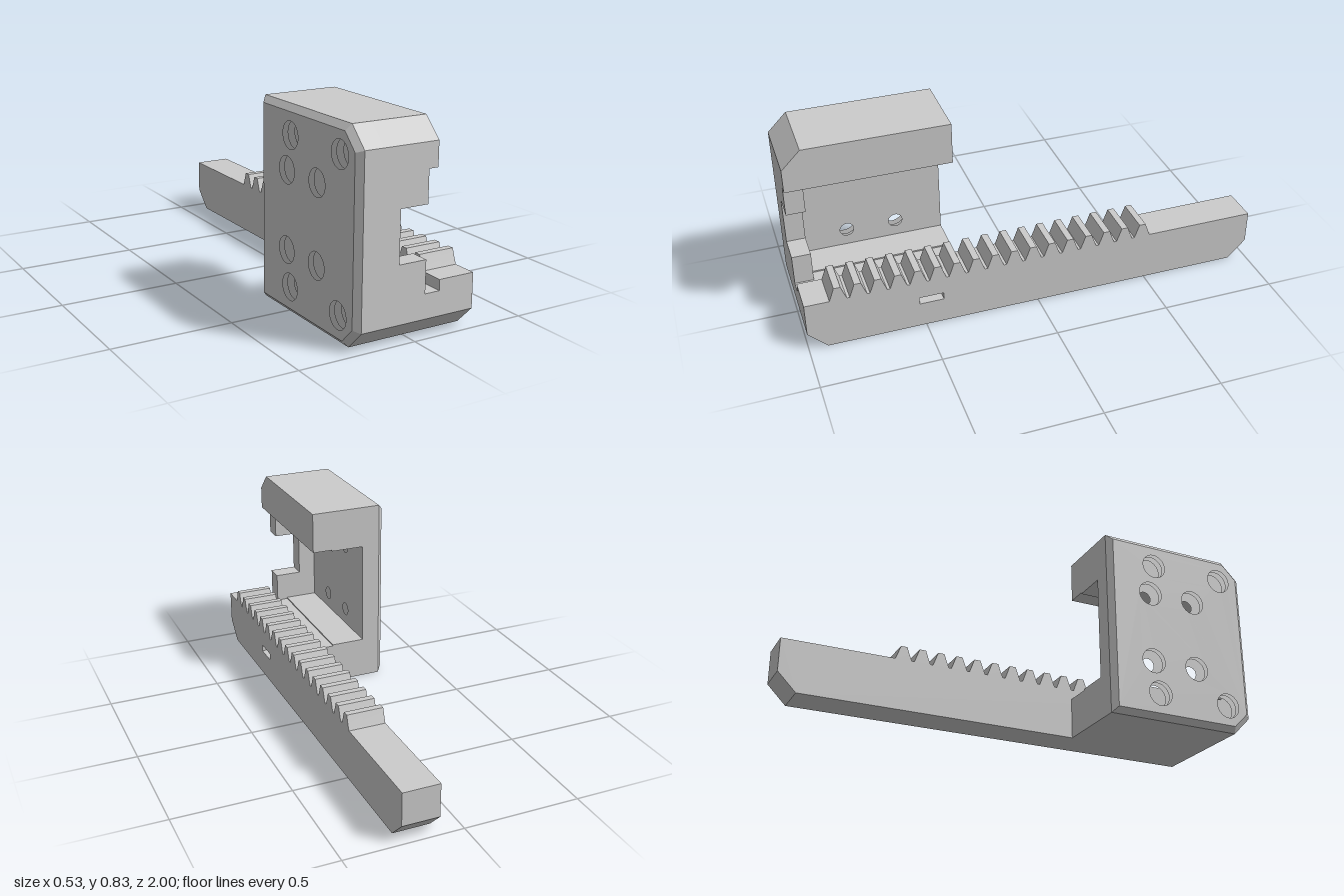
import * as THREE from 'three';
import { toCreasedNormals } from 'three/addons/utils/BufferGeometryUtils.js';

const material = new THREE.MeshStandardMaterial({ color: 0xcccccc });

function addMesh(group, name, geometry) {
  const mesh = new THREE.Mesh(geometry, material);
  mesh.name = name;
  group.add(mesh);
}

// Side profile of [z, y] points extruded along x, with round holes [z, y, r] or polygon holes
function slab(points, x0, x1, roundHoles = [], polyHoles = []) {
  const flip = ([z, y]) => new THREE.Vector2(-z, y);
  const shape = new THREE.Shape(points.map(flip));
  for (const [z, y, r] of roundHoles) {
    shape.holes.push(new THREE.Path().absarc(-z, y, r, 0, Math.PI * 2, true));
  }
  for (const poly of polyHoles) shape.holes.push(new THREE.Path(poly.map(flip)));
  const g = new THREE.ExtrudeGeometry(shape, { depth: x1 - x0, bevelEnabled: false, curveSegments: 18 });
  g.rotateY(Math.PI / 2).translate(x0, 0, 0);
  return toCreasedNormals(g, 0.5);
}

function box(x0, x1, y0, y1, z0, z1) {
  return new THREE.BoxGeometry(x1 - x0, y1 - y0, z1 - z0)
    .translate((x0 + x1) / 2, (y0 + y1) / 2, (z0 + z1) / 2);
}

// Sloping band joining two [z, y] contours at different x
function band(outer, xOuter, inner, xInner) {
  const v = [];
  outer.forEach((o, i) => {
    const j = (i + 1) % outer.length;
    const a = [xOuter, o[1], o[0]], b = [xOuter, outer[j][1], outer[j][0]];
    const c = [xInner, inner[j][1], inner[j][0]], d = [xInner, inner[i][1], inner[i][0]];
    v.push(...a, ...b, ...c, ...a, ...c, ...d);
  });
  const g = new THREE.BufferGeometry();
  g.setAttribute('position', new THREE.Float32BufferAttribute(v, 3));
  g.computeVertexNormals();
  return g;
}

function buildBracket() {
  const bracket = new THREE.Group();
  bracket.name = 'bracket';
  const outline = [[0.31, 0], [0.92, 0], [1, 0.08], [1, 0.755], [0.92, 0.835], [0.31, 0.835]];
  const inset = [[0.335, 0.025], [0.91, 0.025], [0.975, 0.09], [0.975, 0.745], [0.91, 0.81], [0.335, 0.81]];

  // Hole pattern: four deep corner holes, four counterbored screw holes
  const corners = [], bores = [], screws = [];
  for (const y of [0.72, 0.115]) for (const z of [0.54, 0.88]) corners.push([z, y, 0.055]);
  for (const y of [0.58, 0.26]) for (const z of [0.515, 0.73]) {
    bores.push([z, y, 0.055]);
    screws.push([z, y, 0.03]);
  }

  // Side wall in layers, with a chamfered outer face
  addMesh(bracket, 'wallOuterFace', slab(inset, -0.263, -0.24, [...corners, ...bores]));
  addMesh(bracket, 'wallChamfer', band(outline, -0.24, inset, -0.263));
  addMesh(bracket, 'wallCounterbore', slab(outline, -0.24, -0.21, [...corners, ...bores]));
  addMesh(bracket, 'wallInner', slab(outline, -0.21, -0.16, [...corners, ...screws]));

  // Upper arm and base
  addMesh(bracket, 'upperArm', slab(
    [[0.31, 0.655], [1, 0.655], [1, 0.755], [0.92, 0.835], [0.31, 0.835]], -0.16, 0.08));
  addMesh(bracket, 'base', slab(
    [[0.31, 0], [0.92, 0], [1, 0.08], [1, 0.18], [0.31, 0.18]], -0.16, 0.105));

  // Shallow raised pads on the ceiling and floor of the opening
  addMesh(bracket, 'ceilingPad', box(-0.16, -0.01, 0.649, 0.655, 0.31, 0.92));
  addMesh(bracket, 'floorPad', box(-0.16, -0.01, 0.18, 0.186, 0.31, 0.92));

  // Front lip with a rectangular notch
  const lip = new THREE.Shape([
    [-0.16, 0.18], [0.04, 0.18], [0.04, 0.313], [-0.08, 0.313],
    [-0.08, 0.523], [0.04, 0.523], [0.04, 0.655], [-0.16, 0.655],
  ].map(([x, y]) => new THREE.Vector2(x, y)));
  addMesh(bracket, 'frontLip',
    new THREE.ExtrudeGeometry(lip, { depth: 0.08, bevelEnabled: false }).translate(0, 0, 0.92));
  return bracket;
}

function buildRack() {
  const rack = new THREE.Group();
  rack.name = 'rack';
  const root = 0.224, tip = 0.284, pitch = 0.0837, first = -0.479, teeth = 17;

  // Bar with chamfered lower ends and a row of teeth along the top
  const profile = [[1, root], [1, 0.08], [0.92, 0], [-0.92, 0], [-1, 0.08], [-1, root]];
  for (let i = 0; i < teeth; i++) {
    const c = first + i * pitch;
    profile.push(
      [c - 0.036, root], [c - 0.026, 0.25], [c - 0.014, tip],
      [c + 0.014, tip], [c + 0.026, 0.25], [c + 0.036, root]);
  }
  const slot = [[0.42, 0.113], [0.525, 0.113], [0.525, 0.145], [0.42, 0.145]];
  addMesh(rack, 'rackInner', slab(profile, 0.105, 0.2));
  addMesh(rack, 'rackSlottedSide', slab(profile, 0.2, 0.263, [], [slot]));
  return rack;
}

export function createModel() {
  const model = new THREE.Group();
  model.name = 'rackBracket';
  model.add(buildBracket(), buildRack());
  return model;
}
